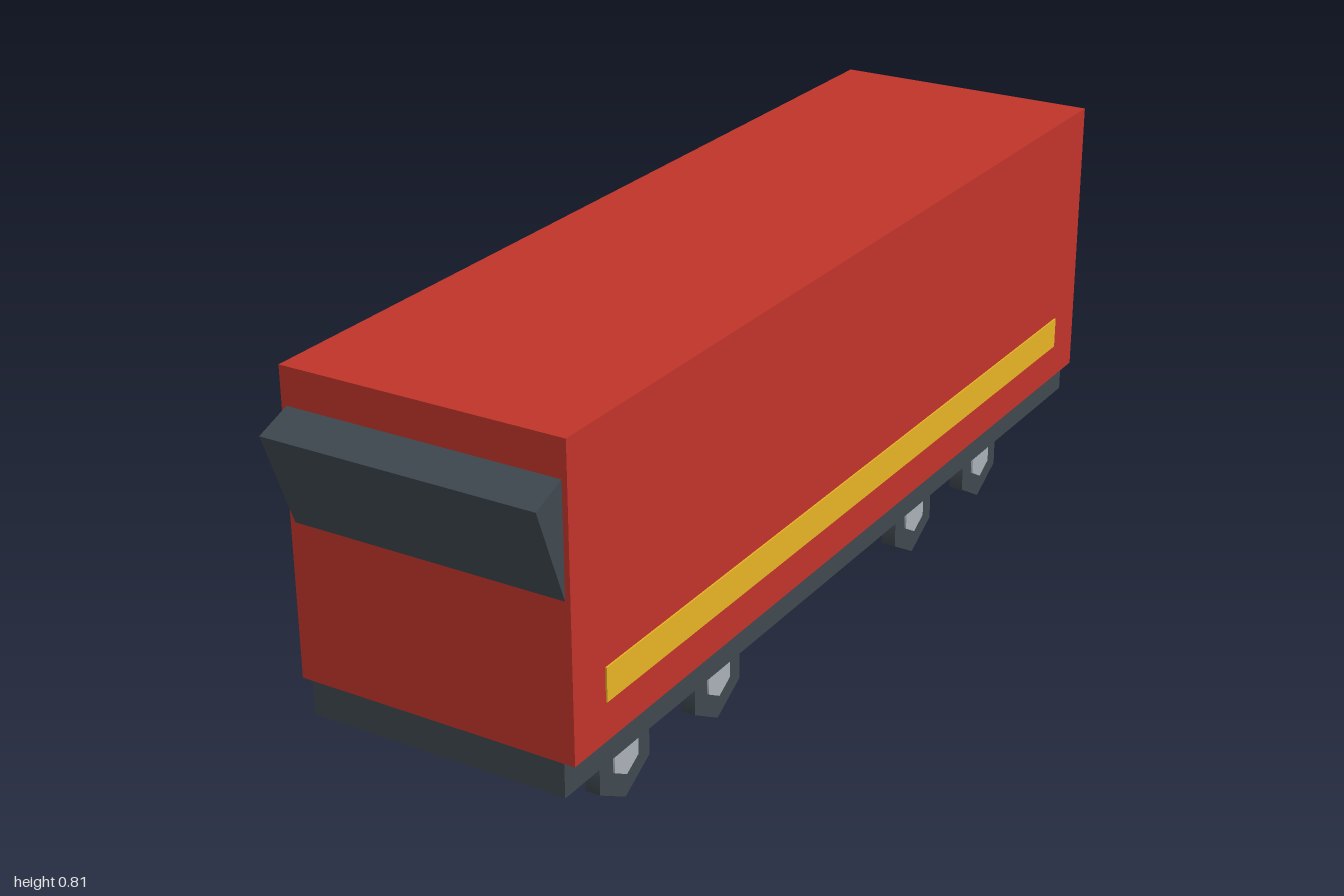
import * as THREE from 'three';

export function createModel() {
  const model = new THREE.Group();
  model.name = 'railCar';

  const material = (name, color) => {
    const m = new THREE.MeshStandardMaterial({ color });
    m.name = name;
    return m;
  };
  const red = material('red', 0xc0342a);
  const dark = material('darkGrey', 0x3f474f);
  const yellow = material('yellow', 0xe8b424);
  const steel = material('steel', 0xaab0b8);

  const add = (name, geometry, mat, x, y, z, parent = model) => {
    const mesh = new THREE.Mesh(geometry, mat);
    mesh.name = name;
    mesh.position.set(x, y, z);
    parent.add(mesh);
    return mesh;
  };

  // Body and underframe
  add('body', new THREE.BoxGeometry(0.556, 0.577, 1.93), red, 0, 0.5165, -0.035);
  add('chassis', new THREE.BoxGeometry(0.514, 0.065, 1.93), dark, 0, 0.1955, -0.035);

  // Windscreen: a tilted box, positioned by its top front edge
  const screen = new THREE.BoxGeometry(0.536, 0.21, 0.1);
  screen.translate(0, -0.105, -0.05);
  add('windscreen', screen, dark, 0, 0.708, 1).rotation.x = 0.365;

  // Side stripes
  for (const side of [-1, 1]) {
    add('sideStripe', new THREE.BoxGeometry(0.006, 0.064, 1.74), yellow, side * 0.278, 0.334, -0.032);
  }

  // Six-sided wheels with a corner pointing up, hubs showing on both faces
  const disc = (radius, width) =>
    new THREE.CylinderGeometry(radius, radius, width, 6).rotateY(Math.PI / 2).rotateZ(Math.PI / 2);
  const tyre = disc(0.09, 0.03);
  const hub = disc(0.043, 0.038);
  for (const z of [0.663, 0.355, -0.419, -0.727]) {
    for (const side of [-1, 1]) {
      const wheel = new THREE.Group();
      wheel.name = 'wheel';
      wheel.position.set(side * 0.1815, 0.09, z);
      add('tyre', tyre, dark, 0, 0, 0, wheel);
      add('hub', hub, steel, 0, 0, 0, wheel);
      model.add(wheel);
    }
  }

  return model;
}
